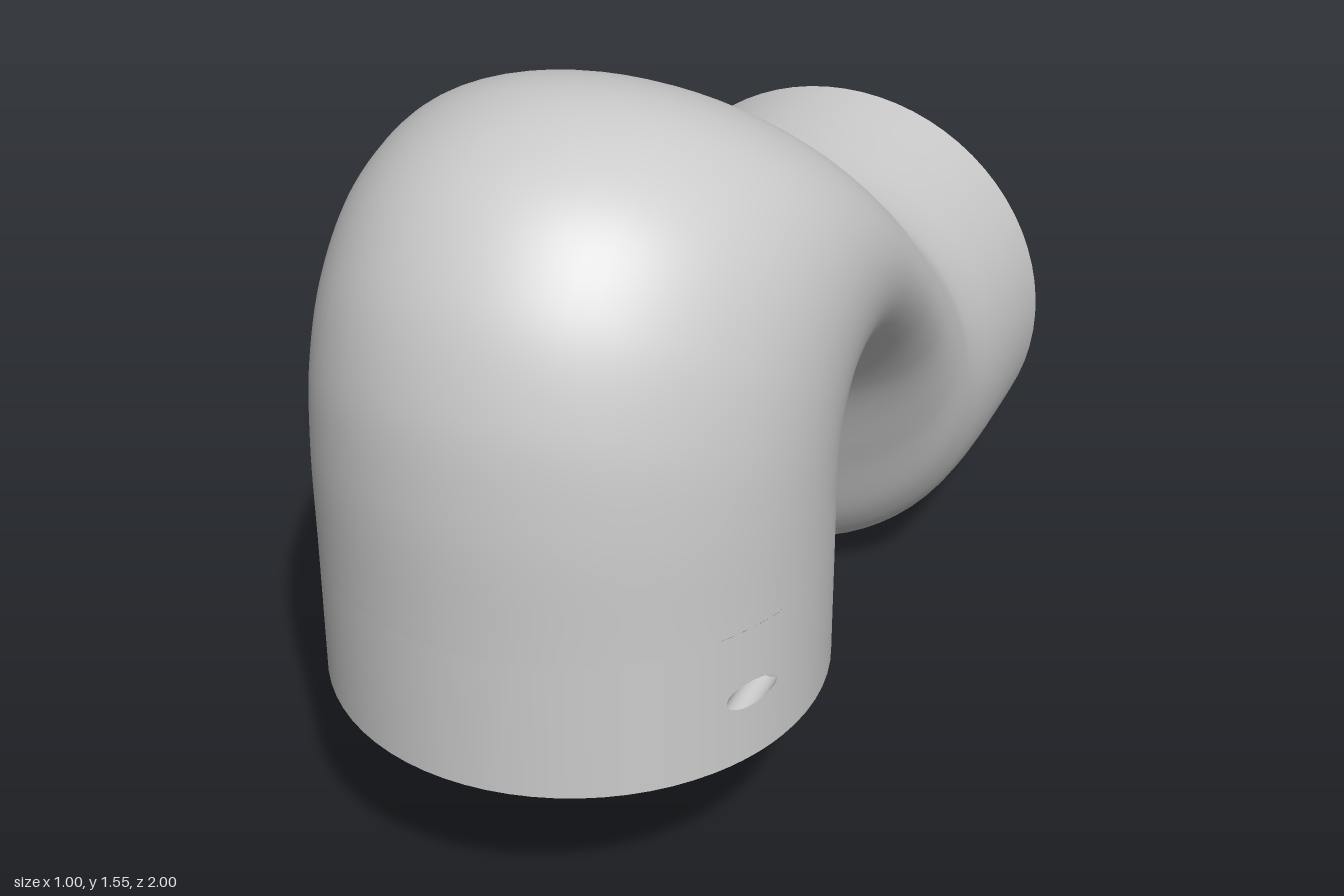
import * as THREE from 'three';
import { mergeVertices } from 'three/addons/utils/BufferGeometryUtils.js';

const material = new THREE.MeshStandardMaterial({ color: 0xcccccc });
const R = 0.5, BOTTOM = 0.38, TOP = 0.67;           // pipe radius, collar heights
const HOLE = { x: 0.45, y: 0.525, r: 0.027, floor: 0.62 };

// Smooth surface over a grid; f(u, v) returns [x, y, z], outside is du x dv
function surface(nu, nv, f) {
  const positions = [], index = [];
  for (let j = 0; j <= nv; j++)
    for (let i = 0; i <= nu; i++) positions.push(...f(i / nu, j / nv));
  for (let j = 0; j < nv; j++)
    for (let i = 0; i < nu; i++) {
      const a = j * (nu + 1) + i, b = a + 1, d = a + nu + 1, c = d + 1;
      index.push(a, b, d, b, c, d);
    }
  let g = new THREE.BufferGeometry();
  g.setAttribute('position', new THREE.Float32BufferAttribute(positions, 3));
  g.setIndex(index);
  g = mergeVertices(g, 1e-5);
  g.computeVertexNormals();
  return g;
}

function add(parent, name, geometry) {
  const mesh = new THREE.Mesh(geometry, material);
  mesh.name = name;
  parent.add(mesh);
  return mesh;
}

// Elliptical sections between an outer and an inner rail: [outer z, y, inner z, y]
function bendGeometry() {
  const rails = [
    [1, 0.67, 0, 0.67], [1, 0.95, 0, 0.685], [0.975, 1.15, -0.003, 0.7],
    [0.9, 1.335, -0.01, 0.715], [0.75, 1.485, -0.022, 0.728], [0.5, 1.552, -0.05, 0.735],
    [0.26, 1.5, -0.1, 0.722], [0, 1.328, -0.17, 0.675], [-0.2, 1.17, -0.25, 0.57],
    [-0.38, 1.067, -0.34, 0.345], [-0.5, 1.025, -0.42, 0.145], [-0.62, 1.008, -0.5, 0.055],
    [-0.78, 1.001, -0.65, 0.012], [-0.9, 1, -0.88, 0], [-1, 1, -1, 0],
  ];
  const rail = k => new THREE.CatmullRomCurve3(
    rails.map(p => new THREE.Vector3(0, p[k + 1], p[k])), false, 'centripetal');
  const outer = rail(0), inner = rail(2);
  return surface(72, 112, (u, v) => {
    const o = outer.getPoint(v), n = inner.getPoint(v), t = u * Math.PI * 2;
    const c = Math.cos(t) / 2;
    return [R * Math.sin(t), (o.y + n.y) / 2 + (o.y - n.y) * c, (o.z + n.z) / 2 + (o.z - n.z) * c];
  });
}

const onWall = (a, y) => [R * Math.sin(a), y, R * Math.cos(a)];

// Cylinder wall with exact radial normals
function wall(nu, nv, f) {
  const g = surface(nu, nv, f), p = g.attributes.position;
  for (let i = 0; i < p.count; i++) g.attributes.normal.setXYZ(i, p.getX(i) / R, 0, p.getZ(i) / R);
  return g;
}

// Half of the collar: plain arc, a window around the screw hole, and the blind hole
function collarHalf() {
  const half = new THREE.Group();
  half.name = 'collarHalf';
  const deg = Math.PI / 180, mid = 65 * deg, span = 15 * deg;
  add(half, 'collarWall', wall(30, 1, (u, v) =>
    onWall(mid + span + u * (Math.PI - 2 * span), BOTTOM + v * (TOP - BOTTOM))));

  const rim = u => [HOLE.x + HOLE.r * Math.cos(u * Math.PI * 2), HOLE.y + HOLE.r * Math.sin(u * Math.PI * 2)];
  add(half, 'holeSurround', wall(32, 6, (u, v) => {
    const c = Math.cos(u * Math.PI * 2), s = Math.sin(u * Math.PI * 2);
    const m = Math.max(Math.abs(c), Math.abs(s));
    const [hx, hy] = rim(u), ha = Math.asin(hx / R);
    const a = mid + span * c / m, y = HOLE.y + (TOP - BOTTOM) / 2 * s / m;
    return onWall(a + (ha - a) * v, y + (hy - y) * v);
  }));
  add(half, 'screwHoleWall', surface(32, 1, (u, v) => {
    const [x, y] = rim(u), z = Math.sqrt(R * R - x * x);
    return [x, y, z + (HOLE.floor - R - z) * v];
  }));
  add(half, 'screwHoleFloor', new THREE.CircleGeometry(HOLE.r, 32))
    .position.set(HOLE.x, HOLE.y, HOLE.floor - R);
  return half;
}

export function createModel() {
  const model = new THREE.Group();
  model.name = 'pipeElbow';

  // Swept body and its flat rear end
  add(model, 'bentPipe', bendGeometry());
  const rear = add(model, 'rearEnd', new THREE.CircleGeometry(R, 72));
  rear.position.set(0, 0.5, -1);
  rear.rotation.y = Math.PI;

  // Collar with two opposite screw holes and a flat underside
  const collar = new THREE.Group();
  collar.name = 'collar';
  collar.position.z = 0.5;
  for (const turn of [0, Math.PI]) {
    const half = collarHalf();
    half.rotation.y = turn;
    collar.add(half);
  }
  const under = add(collar, 'collarUnderside', new THREE.CircleGeometry(R, 72));
  under.position.y = BOTTOM;
  under.rotation.x = Math.PI / 2;
  model.add(collar);
  return model;
}
